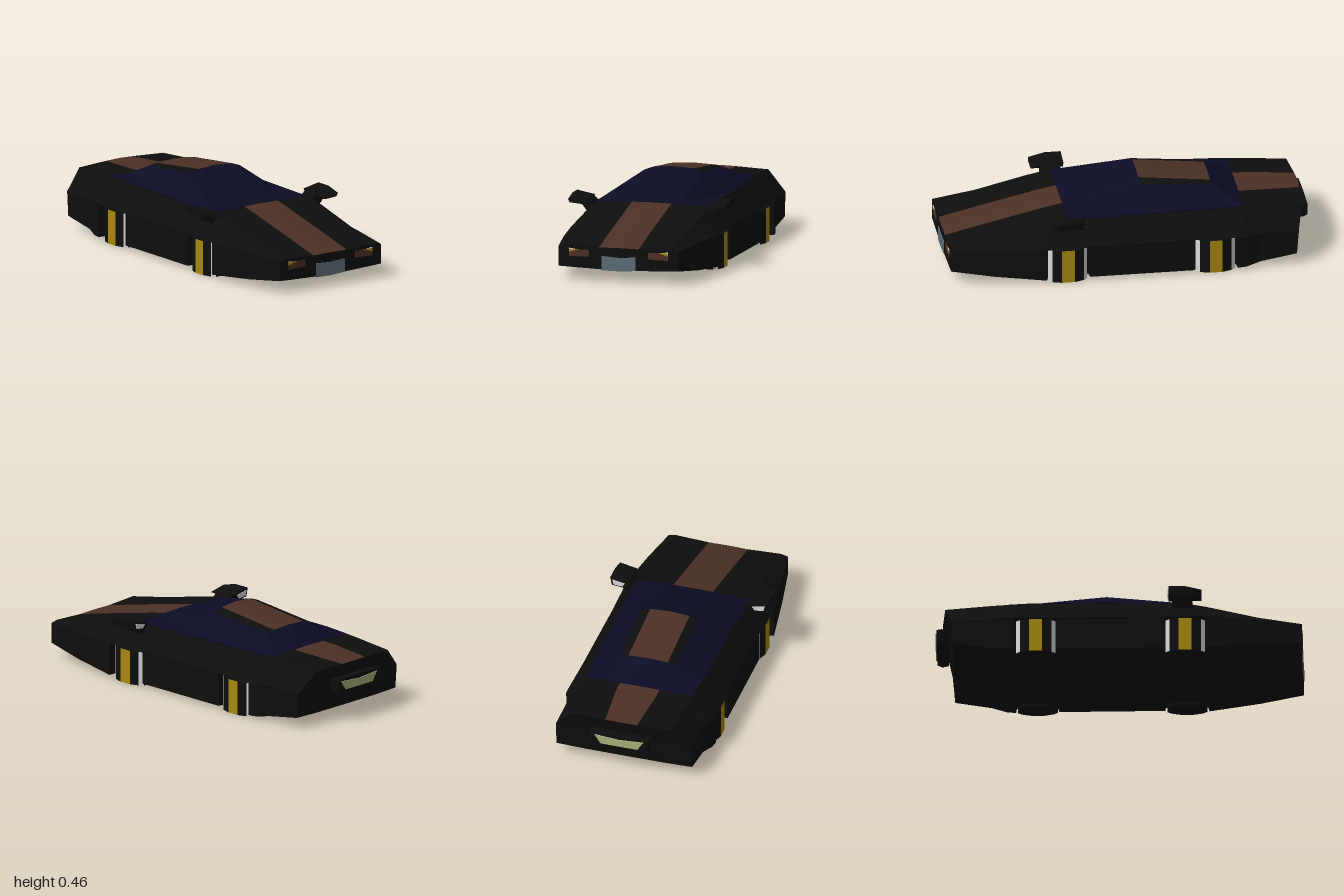
import * as THREE from 'three';

const mat = (name, color, opts = {}) => {
  const m = new THREE.MeshStandardMaterial({ color, flatShading: true, ...opts });
  m.name = name;
  return m;
};

// Skin a list of closed rings; pick(i, j) gives the material index of each cell, caps use index 0.
function loft(rings, pick = () => 0) {
  const pos = [], geo = new THREE.BufferGeometry();
  const tri = (m, ...pts) => {
    geo.addGroup(pos.length / 3, 3, m);
    pts.forEach(p => pos.push(...p));
  };
  const n = rings[0].length;
  for (let i = 0; i < rings.length - 1; i++) {
    for (let j = 0; j < n; j++) {
      const k = (j + 1) % n, m = pick(i, j);
      tri(m, rings[i][j], rings[i][k], rings[i + 1][k]);
      tri(m, rings[i][j], rings[i + 1][k], rings[i + 1][j]);
    }
  }
  [rings[0], rings[rings.length - 1]].forEach((r, end) => {
    const c = [0, 1, 2].map(a => r.reduce((s, p) => s + p[a], 0) / n);
    r.forEach((p, j) => {
      const q = r[(j + 1) % n];
      end ? tri(0, c, p, q) : tri(0, c, q, p);
    });
  });
  geo.setAttribute('position', new THREE.Float32BufferAttribute(pos, 3));
  geo.computeVertexNormals();
  return geo;
}

// Half a cross-section, centre top to centre bottom, completed by mirroring.
const fullRing = half => [...half, ...half.slice(1, -1).reverse().map(([x, y, z]) => [-x, y, z])];
const mirrorRings = rings => rings.map(r => r.map(([x, y, z]) => [-x, y, z]).reverse());

export function createModel() {
  const black = mat('black paint', 0x0e0e0e);
  const navy = mat('navy glass', 0x0c0c25);
  const brown = mat('brown stripe', 0x4c3026);
  const yellow = mat('yellow', 0xa88810);
  const white = mat('white', 0xdadada);
  const grey = mat('grey plate', 0x5f6e77);
  const green = mat('pale green plate', 0xa9b27c);

  const model = new THREE.Group();
  const add = (name, geo, material, parent = model) => {
    const m = new THREE.Mesh(geo, material);
    m.name = name;
    parent.add(m);
    return m;
  };

  // Body stations: z, centre y, deck edge x/y, shoulder x/y, sill x/y
  const stations = [
    [0.994, 0.188, 0.30, 0.195, 0.34, 0.185, 0.34, 0.075],
    [0.76, 0.243, 0.31, 0.238, 0.38, 0.195, 0.38, 0.045],
    [0.48, 0.306, 0.32, 0.300, 0.42, 0.20, 0.42, 0.02],
    [0.475, 0.308, 0.32, 0.301, 0.42, 0.20, 0.37, 0.02],
    [0.35, 0.333, 0.32, 0.325, 0.415, 0.20, 0.37, 0.02],
    [0.245, 0.326, 0.32, 0.325, 0.415, 0.20, 0.37, 0.02],
    [0.24, 0.326, 0.32, 0.325, 0.413, 0.20, 0.41, 0.02],
    [-0.335, 0.326, 0.315, 0.328, 0.415, 0.20, 0.412, 0.018],
    [-0.34, 0.326, 0.315, 0.328, 0.415, 0.20, 0.37, 0.018],
    [-0.565, 0.326, 0.305, 0.329, 0.42, 0.20, 0.37, 0.018],
    [-0.57, 0.326, 0.305, 0.329, 0.42, 0.20, 0.42, 0.018],
    [-0.62, 0.334, 0.30, 0.329, 0.42, 0.20, 0.415, 0.02],
    [-0.70, 0.332, 0.295, 0.326, 0.388, 0.20, 0.386, 0.032],
    [-0.91, 0.32, 0.28, 0.312, 0.386, 0.20, 0.386, 0.065],
  ];
  const last = stations.length - 1;
  const bodyRings = stations.map(([z, yc, xd, yd, xs, ys, xb, yb], i) => {
    const back = i === last ? 1 : 0;
    const stripe = back ? 0.09 : 0.112;
    return fullRing([
      [0, yc, z - 0.052 * back],
      [stripe, yc - 0.002, z - 0.048 * back],
      [xd, yd, z - 0.034 * back],
      [xs, ys, z],
      [xb, ys - 0.006, z],
      [xb, yb, z + 0.01 * back],
      [0.24, yb - 0.004, z + 0.01 * back],
      [0, Math.max(0.06, yb - 0.012), z + 0.01 * back],
    ]);
  });
  const lastCell = bodyRings[0].length - 1;
  const onStripe = j => j === 0 || j === lastCell;
  add('body', loft(bodyRings, (i, j) => onStripe(j) && (i < 4 || i > 10) ? 1 : 0), [black, brown]);

  // Cabin: windscreen, roof with stripe, rear window
  const cabin = [
    [0.35, 0.336, 0.334, 0.16, 0.333, 0.315, 0.326],
    [-0.07, 0.463, 0.455, 0.165, 0.436, 0.317, 0.332],
    [-0.465, 0.416, 0.411, 0.155, 0.402, 0.31, 0.334],
    [-0.62, 0.336, 0.335, 0.17, 0.333, 0.298, 0.331],
  ].map(([z, y0, y1, x2, y2, x3, y3]) =>
    fullRing([[0, y0, z], [0.112, y1, z], [x2, y2, z], [x3, y3, z], [0.29, 0.3, z], [0, 0.3, z]]));
  add('cabin', loft(cabin, (i, j) => {
    if (i !== 1) return 0;
    return j === 0 || j === 9 ? 1 : j === 1 || j === 8 ? 2 : 0;
  }), [navy, brown, black]);

  // Wheels: upright faceted drums, with coloured bands on the outer side
  const outer = [[-0.063, 0.07], [-0.03, 0.105], [0.027, 0.108], [0.046, 0.086], [0.063, 0.035]];
  const section = [...outer, ...outer.slice().reverse().map(([x, z]) => [x, -z])];
  const wheelGeo = loft([0, 0.19].map(y => section.map(([x, z]) => [x, y, z])),
    (i, j) => j === 4 ? 1 : j === 2 || j === 6 ? 2 : 0);
  for (const z of [0.361, -0.451]) {
    for (const s of [1, -1]) {
      const w = add(z > 0 ? 'frontWheel' : 'rearWheel', wheelGeo, [black, yellow, white]);
      w.position.set(s * 0.357, 0, z);
      if (s < 0) w.rotation.y = Math.PI;
    }
  }

  // Door mirrors: arm, tapering housing and glass
  const housing = [[0.45, 0.325, 0.34], [0.36, 0.317, 0.362], [0.27, 0.317, 0.362]].map(([z, lo, hi]) =>
    [[0.345, hi - 0.014, z], [0.446, hi + 0.006, z], [0.436, lo + 0.003, z], [0.365, lo - 0.003, z]]);
  const arm = [0.40, 0.29].map(z =>
    [[0.31, 0.315, z], [0.345, 0.348, z], [0.385, 0.318, z], [0.355, 0.28, z], [0.325, 0.28, z]]);
  const glass = [0.271, 0.266].map(z =>
    [[0.362, 0.343, z], [0.434, 0.357, z], [0.426, 0.327, z], [0.376, 0.322, z]]);
  for (const s of [1, -1]) {
    const side = new THREE.Group();
    side.name = s > 0 ? 'leftMirror' : 'rightMirror';
    const build = r => loft(s > 0 ? r : mirrorRings(r));
    add('mirrorHousing', build(housing), black, side);
    add('mirrorArm', build(arm), black, side);
    add('mirrorGlass', build(glass), white, side);
    model.add(side);
  }

  // Thin plate from an outline, standing in the xy plane
  const plate = (pts, depth = 0.005) => new THREE.ExtrudeGeometry(
    new THREE.Shape(pts.map(p => new THREE.Vector2(...p))), { depth, bevelEnabled: false });

  // Front plate
  add('frontPlate', plate([[-0.096, 0.062], [0, 0.06], [0.096, 0.066], [0.096, 0.14], [0, 0.134], [-0.096, 0.14]]), grey)
    .position.z = 0.993;

  // Headlights and tail lights
  for (const s of [1, -1]) {
    const flip = pts => pts.map(([x, y]) => [s * x, y]);
    add('headlight', plate(flip([[0.168, 0.134], [0.28, 0.131], [0.28, 0.155], [0.235, 0.17], [0.168, 0.17]])), brown)
      .position.z = 0.993;
    add('indicator', plate(flip([[0.28, 0.155], [0.28, 0.172], [0.225, 0.172]])), yellow).position.z = 0.994;
    add('headlightGlint', plate(flip([[0.28, 0.171], [0.28, 0.177], [0.245, 0.173]])), white).position.z = 0.994;
    const tail = add('tailLight', plate(flip([[0.18, 0.25], [0.29, 0.258], [0.28, 0.278], [0.18, 0.263]])), yellow);
    tail.position.z = -0.944;
    tail.rotation.y = s * -0.12;
  }

  // Rear bumper block with its plate
  const bumper = [[-0.93, 0.16, 0.172, 0.245], [-0.965, 0.175, 0.17, 0.25], [-0.993, 0.165, 0.178, 0.25]]
    .map(([z, x, lo, hi]) => fullRing([[0, hi, z - 0.002], [x, hi - 0.004, z], [x - 0.01, lo + 0.004, z], [0, lo, z - 0.002]]));
  add('rearBumper', loft(bumper), black);
  add('rearPlate', plate([[-0.105, 0.186], [0.105, 0.186], [0.138, 0.238], [0, 0.228], [-0.138, 0.238]]), green)
    .position.z = -1;

  return model;
}
